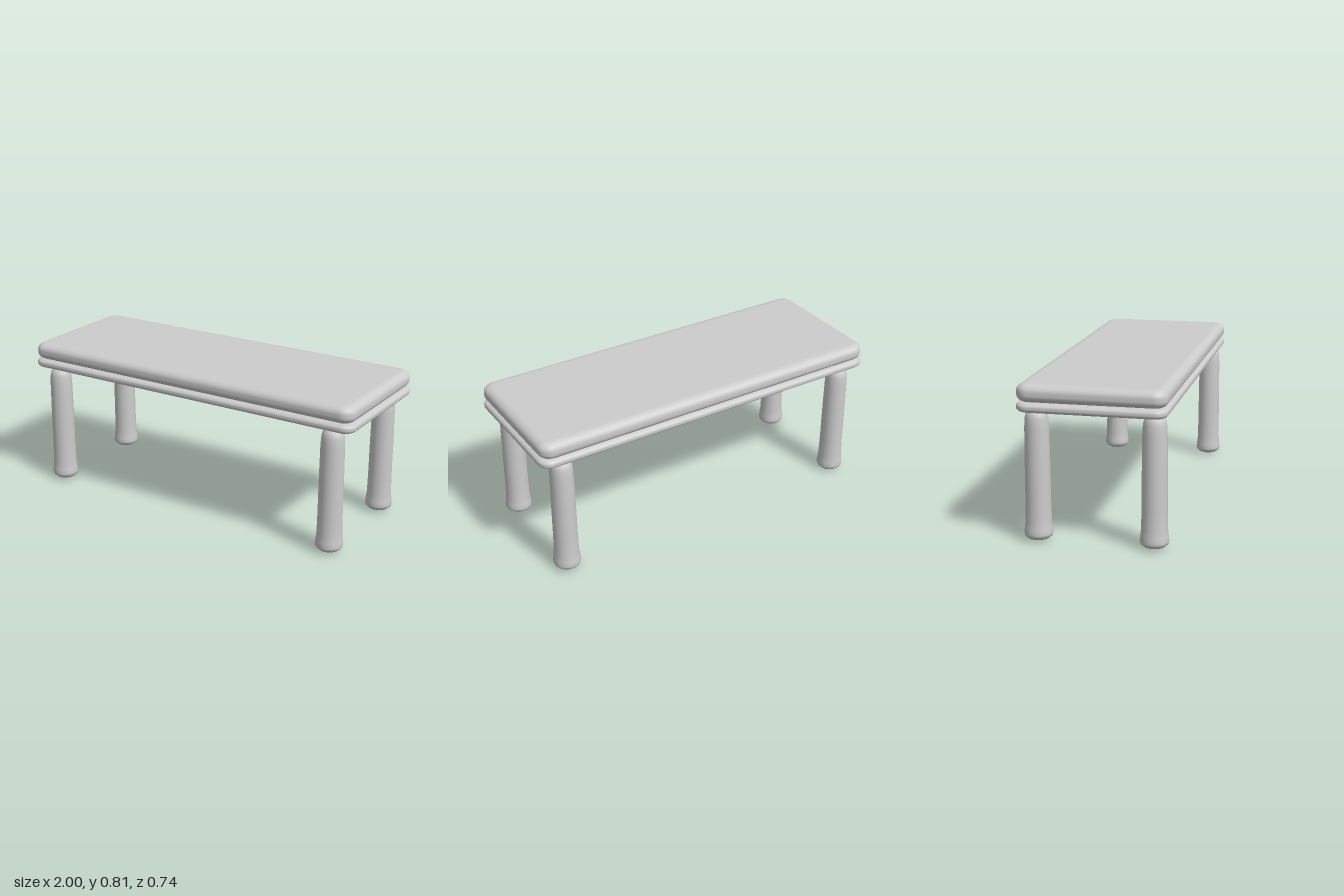
import * as THREE from 'three';
import { mergeVertices } from 'three/addons/utils/BufferGeometryUtils.js';

// Cushion-like slab: rounded rectangle in plan with a softly bevelled edge
function slabGeometry(halfX, halfZ, y0, y1, bevel, corner) {
  const x = halfX - bevel, z = halfZ - bevel, r = corner;
  const shape = new THREE.Shape();
  shape.moveTo(-x + r, -z);
  shape.lineTo(x - r, -z);
  shape.absarc(x - r, -z + r, r, -Math.PI / 2, 0);
  shape.lineTo(x, z - r);
  shape.absarc(x - r, z - r, r, 0, Math.PI / 2);
  shape.lineTo(-x + r, z);
  shape.absarc(-x + r, z - r, r, Math.PI / 2, Math.PI);
  shape.lineTo(-x, -z + r);
  shape.absarc(-x + r, -z + r, r, Math.PI, Math.PI * 1.5);

  const thick = (y1 - y0) * 0.42;
  let geo = new THREE.ExtrudeGeometry(shape, {
    depth: y1 - y0 - 2 * thick,
    bevelEnabled: true,
    bevelSize: bevel,
    bevelThickness: thick,
    bevelSegments: 8,
    curveSegments: 6,
  });
  geo.rotateX(-Math.PI / 2);
  geo.translate(0, y0 + thick, 0);
  // Weld so the shading is smooth over the rounded edge
  geo.deleteAttribute('uv');
  geo.deleteAttribute('normal');
  geo = mergeVertices(geo, 1e-4);
  geo.computeVertexNormals();
  return geo;
}

// Leg profile: flared rounded foot, slim shaft, domed top
function legGeometry() {
  const profile = [
    [0, 0.003], [0.03, 0.005], [0.055, 0.014], [0.069, 0.027], [0.073, 0.04],
    [0.07, 0.065], [0.066, 0.1], [0.064, 0.2], [0.063, 0.4], [0.061, 0.58],
    [0.058, 0.63], [0.051, 0.656], [0.036, 0.67], [0.018, 0.676], [0, 0.677],
  ].map(([r, y]) => new THREE.Vector2(r, y));
  profile[0].y = 0;
  return new THREE.LatheGeometry(profile, 24);
}

export function createModel() {
  const group = new THREE.Group();
  group.name = 'bench';
  const grey = new THREE.MeshStandardMaterial({ color: 0xcccccc });
  grey.name = 'light grey';

  const add = (name, geo, x = 0, z = 0) => {
    const mesh = new THREE.Mesh(geo, grey);
    mesh.name = name;
    mesh.position.set(x, 0, z);
    group.add(mesh);
  };

  // Padded seat above a thinner board
  add('seatCushion', slabGeometry(0.994, 0.372, 0.724, 0.815, 0.048, 0.02));
  add('seatBoard', slabGeometry(0.998, 0.372, 0.676, 0.726, 0.035, 0.03));

  // Four matching legs
  const leg = legGeometry();
  for (const [sideName, x] of [['Left', 0.866], ['Right', -0.866]]) {
    add('front' + sideName + 'Leg', leg, x, 0.294);
    add('back' + sideName + 'Leg', leg, x, -0.294);
  }
  return group;
}
